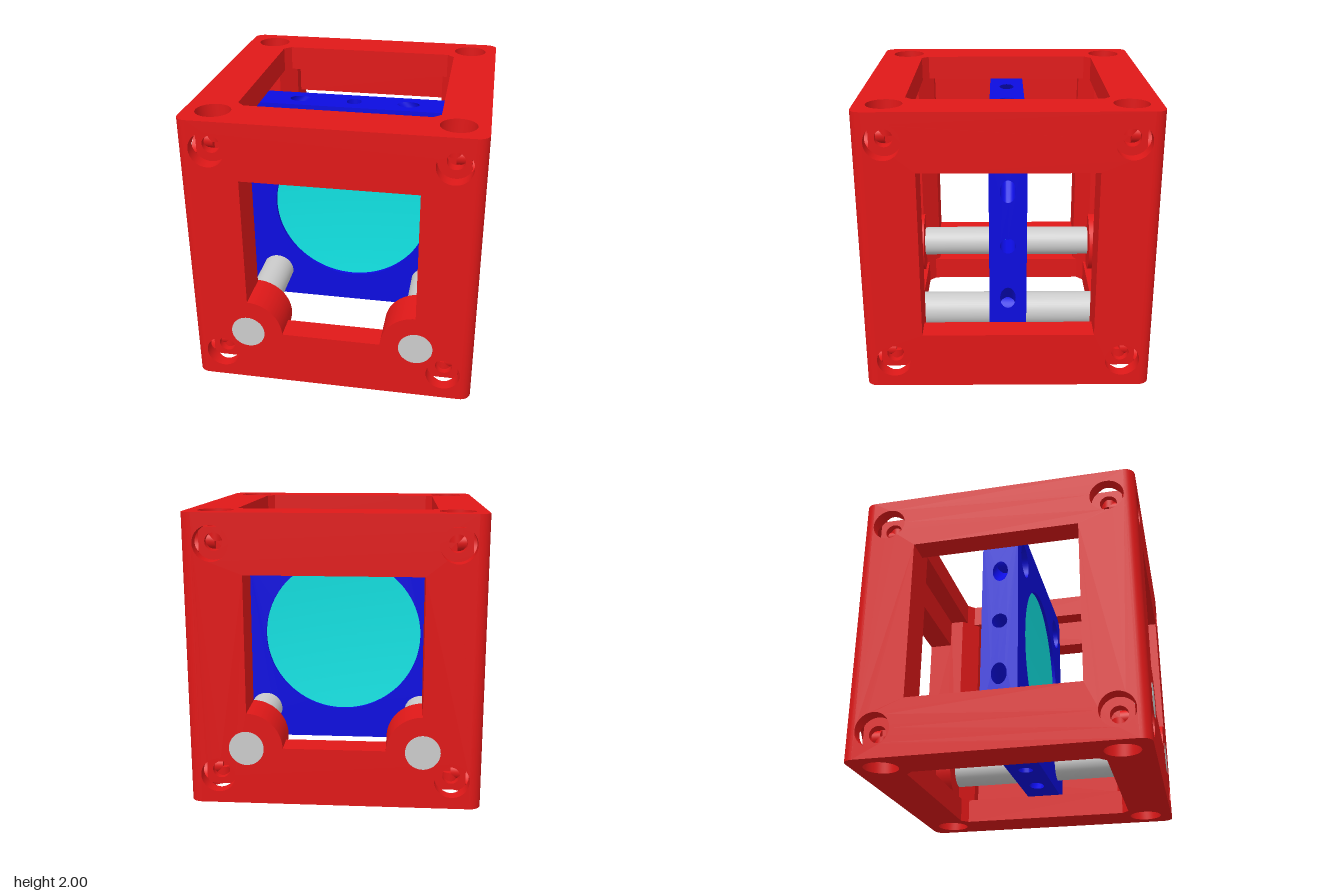
import * as THREE from 'three';
import { mergeGeometries, toCreasedNormals } from 'three/addons/utils/BufferGeometryUtils.js';

const WIN = 0.595, CAV = 0.82, ROD = 0.12, LENS = 0.59;
const mat = (color) => new THREE.MeshStandardMaterial({ color, side: THREE.DoubleSide });
const red = mat(0xe01818), blue = mat(0x0c0ce0), cyan = mat(0x10e2e2), grey = mat(0xcccccc);

// Outlines as lists of [x, y]
const arc = (cx, cy, rx, ry, a0, a1, n) => Array.from({ length: n + 1 }, (_, i) => {
  const a = a0 + (a1 - a0) * i / n;
  return [cx + rx * Math.cos(a), cy + ry * Math.sin(a)];
});
const ellipse = (cx, cy, rx, ry = rx, n = 40) => arc(cx, cy, rx, ry, 0, 2 * Math.PI * (1 - 1 / n), n - 1);
const rect = (w, h) => [[w, h], [-w, h], [-w, -h], [w, -h]];
const roundSquare = (h, r) => [[1, 1], [-1, 1], [-1, -1], [1, -1]].flatMap(([sx, sy], i) =>
  arc(sx * (h - r), sy * (h - r), r, r, i * Math.PI / 2, (i + 1) * Math.PI / 2, 8));
const four = (d, r) => [[1, 1], [-1, 1], [-1, -1], [1, -1]].map(([x, y]) => ellipse(x * d, y * d, r));

const vec = (pts) => pts.map(([x, y]) => new THREE.Vector2(x, y));
function face(outline, holes, z) {
  const s = new THREE.Shape(vec(outline));
  s.holes = holes.map((h) => new THREE.Path(vec(h)));
  const g = new THREE.ShapeGeometry(s).toNonIndexed().translate(0, 0, z);
  g.deleteAttribute('uv');
  return g;
}

// Wall swept from z0 to z1 along an outline; z1 may vary, dx shears the far end
function wall(pts, z0, z1, closed = true, dx = 0) {
  const end = typeof z1 === 'function' ? z1 : () => z1;
  const pos = [];
  for (let i = 0; i < pts.length - (closed ? 0 : 1); i++) {
    const p = pts[i], q = pts[(i + 1) % pts.length];
    const a = [...p, z0], b = [...q, z0];
    const c = [q[0] + dx, q[1], end(q)], d = [p[0] + dx, p[1], end(p)];
    pos.push(...a, ...b, ...c, ...a, ...c, ...d);
  }
  const g = new THREE.BufferGeometry();
  g.setAttribute('position', new THREE.Float32BufferAttribute(pos, 3));
  g.computeVertexNormals();
  return toCreasedNormals(g, 0.6);
}

function add(group, name, geometries, material) {
  const m = new THREE.Mesh(Array.isArray(geometries) ? mergeGeometries(geometries) : geometries, material);
  m.name = name;
  group.add(m);
  return m;
}

function buildFrame() {
  const frame = new THREE.Group();
  frame.name = 'cubeFrame';
  const R = 0.075, bores = four(0.8, 0.12);

  // Front window, narrowed by a round rod boss in each lower corner
  const boss = arc(-0.6, -0.6, 0.25, 0.25, Math.PI / 2, 0, 16)
    .map(([x, y]) => [Math.max(x, -WIN), Math.max(y, -WIN)]);
  const frontWin = [[WIN, WIN], [-WIN, WIN], ...boss, ...boss.map(([x, y]) => [-x, y]).reverse()];
  const sideWin = rect(WIN, WIN);
  const t = 0.68, u = 0.63;
  const topWin = [[t, u], [u, t], [-u, t], [-t, u], [-t, -u], [-u, -t], [u, -t], [t, -u]];

  // One wall: outer face, window jamb, inner face
  const panel = (outline, win) => [
    face(outline, [win, ...bores], 1), wall(win, 1, CAV), face(rect(CAV, CAV), [win], CAV)];
  const flat = rect(1 - R, 1);
  for (const s of [1, -1]) {
    add(frame, s > 0 ? 'frontWall' : 'backWall', panel(flat, frontWin), red).scale.z = s;
    add(frame, s > 0 ? 'leftWall' : 'rightWall', panel(flat, sideWin), red).rotation.y = s * Math.PI / 2;
    add(frame, s > 0 ? 'topWall' : 'bottomWall', panel(roundSquare(1, R), topWin), red).rotation.x = -s * Math.PI / 2;
  }

  // Corner posts: rounded outside, bevelled inside
  const post = mergeGeometries([
    wall(arc(1 - R, 1 - R, R, R, 0, Math.PI / 2, 8), -1, 1, false),
    wall([[WIN, CAV], [WIN, 0.715], [0.715, WIN], [CAV, WIN]], -CAV, CAV, false),
  ]).rotateX(Math.PI / 2);

  // Counterbored screw holes, three meeting at each corner
  const bore = mergeGeometries([
    wall(ellipse(0.8, 0.8, 0.12), 1, ([x, y]) => Math.max(0.9, x, y)),
    face(ellipse(0.8, 0.8, 0.12).map(([x, y]) => [Math.min(x, 0.9), Math.min(y, 0.9)]), [ellipse(0.8, 0.8, 0.06)], 0.9),
    wall(ellipse(0.8, 0.8, 0.06), 0.9, 0.8),
    face(ellipse(0.8, 0.8, 0.06), [], 0.8),
  ]);
  const [X, Y, Z] = [[1, 0, 0], [0, 1, 0], [0, 0, 1]].map((v) => new THREE.Vector3(...v));
  const corner = mergeGeometries([[X, Y, Z], [Y, Z, X], [Z, X, Y]].map((b) =>
    bore.clone().applyMatrix4(new THREE.Matrix4().makeBasis(...b))));

  for (const sx of [1, -1]) for (const sz of [1, -1]) {
    add(frame, 'cornerPost', post, red).scale.set(sx, 1, -sz);
    for (const sy of [1, -1]) add(frame, 'screwHoles', corner, red).scale.set(sx, sy, sz);
    const b = add(frame, 'rodBoss', new THREE.CylinderGeometry(0.25, 0.25, 0.12, 48).rotateX(Math.PI / 2), red);
    b.position.set(sx * 0.6, -0.6, sz * 0.76);
  }
  return frame;
}

function buildLensPlate() {
  const plate = new THREE.Group();
  plate.name = 'lensPlate';
  const T = 0.13, H = 0.82, R = 0.1;
  const holes = [ellipse(0, 0, LENS, LENS, 96), ...four(0.6, ROD + 0.003)];
  const outline = roundSquare(H, R);
  add(plate, 'plateBody', [
    face(outline, holes, T), face(outline, holes, -T),
    ...holes.map((h) => wall(h, -T, T)),
  ], blue);

  // Each edge has a straight centre hole and two slanted holes towards the rods
  const mid = ellipse(0, 0, 0.055), slant = [1, -1].map((s) => ellipse(s * 0.4, 0, 0.08, 0.055));
  const edge = mergeGeometries([
    face(rect(H - R, T), [mid, ...slant], H),
    wall(mid, H, LENS - 0.02),
    ...slant.map((p, i) => wall(p, H, H - 0.16, true, i ? -0.16 : 0.16)),
    wall(arc(H - R, H - R, R, R, 0, Math.PI / 2, 8), -T, T, false).rotateX(Math.PI / 2),
  ]);
  edge.rotateX(-Math.PI / 2);
  for (let i = 0; i < 4; i++) {
    add(plate, 'plateEdge', edge, blue).rotation.z = i * Math.PI / 2;
    const corner = wall(arc(H - R, H - R, R, R, 0, Math.PI / 2, 8), -T, T, false);
    add(plate, 'plateCorner', corner, blue).rotation.z = i * Math.PI / 2;
  }

  // Slightly dished lens, set back from both plate faces
  const half = Array.from({ length: 9 }, (_, i) => [LENS * i / 8, 0.08 + 0.025 * (i / 8) ** 2]);
  const profile = [...half.map(([r, z]) => [r, -z]), ...half.reverse()];
  const lens = new THREE.LatheGeometry(vec(profile), 96).rotateX(Math.PI / 2);
  add(plate, 'lens', toCreasedNormals(lens, 0.6), cyan);
  return plate;
}

export function createModel() {
  const model = new THREE.Group();
  model.name = 'lensCage';
  const body = new THREE.Group();
  body.name = 'cage';
  body.position.y = 1;
  body.add(buildFrame(), buildLensPlate());
  // Support rods running front to back
  for (const s of [1, -1]) {
    const rod = new THREE.CylinderGeometry(ROD, ROD, 2.004, 48).rotateX(Math.PI / 2);
    add(body, 'supportRod', rod, grey).position.set(s * 0.6, -0.6, 0);
  }
  model.add(body);
  return model;
}
